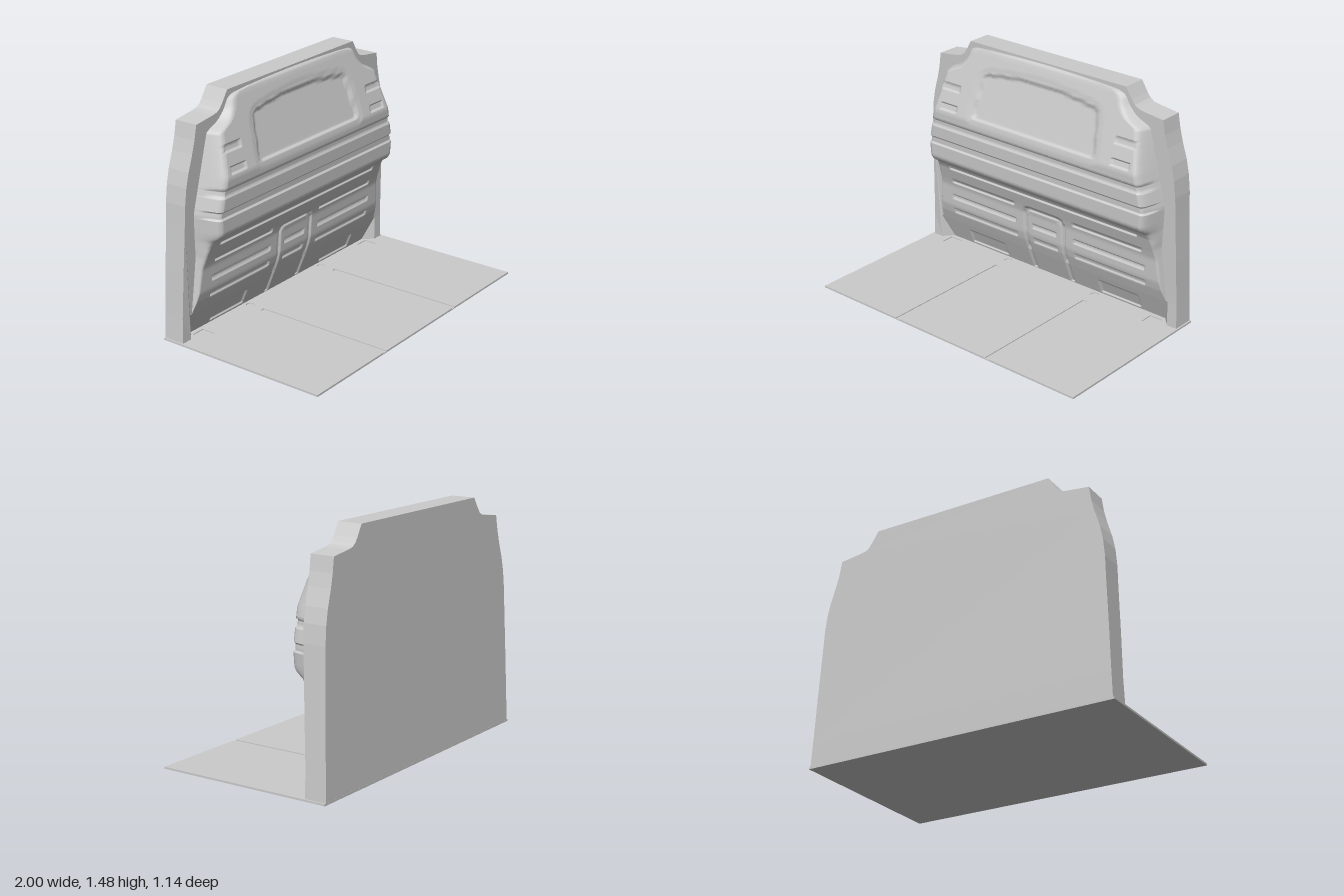
import * as THREE from 'three';

const grey = new THREE.MeshStandardMaterial({ color: 0xcccccc });
const greyDouble = new THREE.MeshStandardMaterial({ color: 0xcccccc, side: THREE.DoubleSide });

// linear lookup in a list of [key, value]
function lookup(table, k) {
  if (k <= table[0][0]) return table[0][1];
  for (let i = 1; i < table.length; i++) {
    const [a, va] = table[i - 1], [b, vb] = table[i];
    if (k <= b) return va + (vb - va) * (k - a) / (b - a);
  }
  return table[table.length - 1][1];
}
const clamp01 = v => Math.min(1, Math.max(0, v));

// signed distance to a rounded box, negative inside
function roundBox(dx, dy, hw, hh, r) {
  const qx = Math.abs(dx) - hw + r, qy = Math.abs(dy) - hh + r;
  return Math.hypot(Math.max(qx, 0), Math.max(qy, 0)) + Math.min(Math.max(qx, qy), 0) - r;
}

// leaning front and back planes of the surrounding frame
const frameBack = y => -0.57 + 0.027 * y;
const frameFront = y => -0.43 + 0.042 * Math.max(0, y - 0.17);

// bulged panel: depth profile, half width and edge inset by height
const profile = [[0, -0.5], [0.17, -0.43], [0.24, -0.403], [0.3, -0.387], [0.45, -0.375], [0.5, -0.36],
  [0.6, -0.325], [0.64, -0.3], [0.66, -0.262], [0.69, -0.242], [1.02, -0.23], [1.27, -0.303],
  [1.44, -0.352], [1.458, -0.36], [1.468, -0.377]];
const halfWidth = [[0, 0.86], [0.17, 0.92], [0.171, 0.905], [0.53, 0.87], [0.6, 0.875], [0.8, 0.885],
  [0.95, 0.85], [1.27, 0.775], [1.29, 0.74], [1.305, 0.7], [1.33, 0.665], [1.37, 0.63], [1.42, 0.605],
  [1.44, 0.585], [1.45, 0.55], [1.458, 0.43], [1.464, 0.25], [1.468, 0]];
const inset = [[0, 0], [0.17, 0], [0.3, 0.02], [0.55, 0.03], [0.66, 0.065], [1.44, 0.06], [1.468, 0]];

// pressed strips on the +x half: [x0, x1, y0, y1, corner radius]
const strips = [
  [-1, 0.95, 0.78, 0.833, 0.02], [-1, 0.95, 0.91, 0.96, 0.02],
  [0.6, 0.75, 1.158, 1.206, 0.004], [0.6, 0.74, 1.035, 1.082, 0.004],
  [-1, 0.75, 0.585, 0.62, 0.004],
  [0.23, 0.76, 0.473, 0.506, 0.004], [0.23, 0.775, 0.35, 0.387, 0.004], [0.23, 0.775, 0.242, 0.28, 0.004],
  [-0.1, 0.1, 0.35, 0.387, 0.004], [-0.1, 0.1, 0.242, 0.28, 0.004],
  [0.38, 0.69, 0.025, 0.125, 0.004],
];
const RAMP = 0.008;

function pressDepth(x, y) {
  const ax = Math.abs(x);
  let d = 0;
  for (const [x0, x1, y0, y1, r] of strips) {
    const s = roundBox(ax - (x0 + x1) / 2, y - (y0 + y1) / 2, (x1 - x0) / 2, (y1 - y0) / 2, r);
    d = Math.max(d, 0.01 * clamp01(-s / RAMP));
  }
  // arch-shaped channel in the lower centre
  if (y > 0.02) {
    const s = Math.abs(roundBox(x, y + 0.506, 0.152, 0.994, 0.05)) - 0.017;
    d = Math.max(d, 0.01 * clamp01(-s / RAMP));
  }
  // window: shallow surround, deeper pane
  const top = 1.387 - 0.2 * x * x, bottom = 1.0;
  const s = roundBox(x, y - (top + bottom) / 2, 0.522 - 0.14 * (y - 1), (top - bottom) / 2, 0.07);
  return d + 0.004 * clamp01(-s / RAMP) + 0.016 * clamp01((-s - 0.036) / RAMP);
}

// sorted grid lines: an even step plus the edges of the strips
function gridLines(from, to, step, edges) {
  const lines = [from, to];
  for (let v = from + step; v < to - 1e-6; v += step) lines.push(v);
  lines.push(...edges.filter(e => e > from && e < to));
  lines.sort((a, b) => a - b);
  return lines.filter((v, i) => i === 0 || v - lines[i - 1] > 0.0008);
}

function makePanel() {
  const xEdges = [0.135, 0.143, 0.161, 0.169], yEdges = [0.02, 0.0205, 0.17, 0.171, 1.45, 1.458, 1.464];
  for (const [x0, x1, y0, y1] of strips) {
    xEdges.push(x0, x0 + RAMP, x1 - RAMP, x1);
    yEdges.push(y0, y0 + RAMP, y1 - RAMP, y1);
  }
  const half = gridLines(0, 0.92, 0.016, xEdges.map(Math.abs));
  const ys = gridLines(0.008, 1.468, 0.014, yEdges);
  // rounded side wall: [outward part, backward part]
  const wall = [[0.25, 0.03], [0.45, 0.12], [0.6, 0.3], [0.75, 0.55], [0.85, 0.75], [1, 1]];
  const right = half.map(x => ({ x, a: 0, b: 0 })).concat(wall.map(([a, b]) => ({ x: 9, a, b })));
  const cols = right.slice(1).reverse().map(c => ({ ...c, side: -1 })).concat(right.map(c => ({ ...c, side: 1 })));
  const pos = [], index = [];
  for (const y of ys) {
    const w0 = lookup(halfWidth, y), w1 = Math.max(0, w0 - lookup(inset, y));
    const zFront = lookup(profile, y);
    const zBase = y <= 0.17 ? zFront : Math.min(zFront, frameFront(y) - 0.004);
    for (const { x, a, b, side } of cols) {
      const px = Math.min(x, w1) + (w0 - w1) * a;
      const press = pressDepth(px, y) * clamp01(1.6 - 2 * b);
      pos.push(side * (px - press * Math.min(1, 2 * a)), y, zFront + (zBase - zFront) * b - press);
    }
  }
  const n = cols.length;
  for (let j = 0; j < ys.length - 1; j++) {
    for (let i = 0; i < n - 1; i++) {
      const k = j * n + i;
      index.push(k, k + 1, k + n + 1, k, k + n + 1, k + n);
    }
  }
  const g = new THREE.BufferGeometry();
  g.setAttribute('position', new THREE.Float32BufferAttribute(pos, 3));
  g.setIndex(index);
  g.computeVertexNormals();
  return g;
}

// slab between fractions t0 and t1 of the leaning frame thickness
function makeSlab(t0, t1, notched) {
  const side = [[0.99, 0.01], [0.983, 0.17], [0.973, 0.45], [0.96, 0.75], [0.956, 0.87], [0.945, 0.98],
    [0.926, 1.07], [0.895, 1.17], [0.875, 1.25], [0.86, 1.34], [0.72, 1.358], [0.685, 1.366],
    [0.66, 1.383], [0.64, 1.41], [0.597, 1.48]];
  const outline = side.concat(side.map(([x, y]) => [-x, y]).reverse());
  if (notched) outline.push([-0.92, 0.01], [-0.92, 0.17], [0.92, 0.17], [0.92, 0.01]);
  const shape = new THREE.Shape(outline.map(p => new THREE.Vector2(...p)));
  const g = new THREE.ExtrudeGeometry(shape, { depth: 1, bevelEnabled: false });
  const p = g.attributes.position;
  for (let i = 0; i < p.count; i++) {
    const y = p.getY(i), t = t0 + (t1 - t0) * p.getZ(i);
    p.setZ(i, frameBack(y) + (frameFront(y) - frameBack(y)) * t);
  }
  g.computeVertexNormals();
  return g;
}

// floor skin with open slots, round holes and square pockets
function makeFloorSkin() {
  const pts = [[-1, -0.57]];
  for (const x of [-0.36, 0.36]) {
    pts.push([x - 0.015, -0.57], [x - 0.015, 0.35], [x + 0.015, 0.35], [x + 0.015, -0.57]);
  }
  pts.push([1, -0.57], [1, 0.57], [-1, 0.57]);
  const shape = new THREE.Shape(pts.map(p => new THREE.Vector2(...p)));
  for (const s of [-1, 1]) {
    shape.holes.push(new THREE.Path().absarc(s * 0.355, 0.45, 0.026, 0, Math.PI * 2));
    shape.holes.push(new THREE.Path([[-1, -1], [1, -1], [1, 1], [-1, 1]]
      .map(([u, v]) => new THREE.Vector2(s * 0.82 + u * 0.045, 0.42 + v * 0.045))));
  }
  const g = new THREE.ExtrudeGeometry(shape, { depth: 0.006, bevelEnabled: false, curveSegments: 20 });
  return g.rotateX(-Math.PI / 2).translate(0, 0.006, 0);
}

export function createModel() {
  const model = new THREE.Group();
  const add = (name, geometry, material = grey) => {
    const mesh = new THREE.Mesh(geometry, material);
    mesh.name = name;
    model.add(mesh);
  };

  add('floorBase', new THREE.BoxGeometry(2, 0.006, 1.14).translate(0, 0.003, 0));
  add('floorSkin', makeFloorSkin());
  add('frameBackPlate', makeSlab(0, 0.3, false));
  add('frame', makeSlab(0.3, 1, true));
  add('bulkheadPanel', makePanel(), greyDouble);

  // triangular cheeks closing the recess at the foot of the panel
  for (const s of [-1, 1]) {
    const g = new THREE.BufferGeometry().setFromPoints([
      new THREE.Vector3(s * 0.92, 0.17, -0.43),
      new THREE.Vector3(s * 0.92, 0.008, -0.43),
      new THREE.Vector3(s * 0.862, 0.008, -0.497),
    ]);
    g.setIndex(s > 0 ? [0, 2, 1] : [0, 1, 2]);
    g.computeVertexNormals();
    add(s > 0 ? 'leftCheek' : 'rightCheek', g, greyDouble);
  }
  return model;
}
